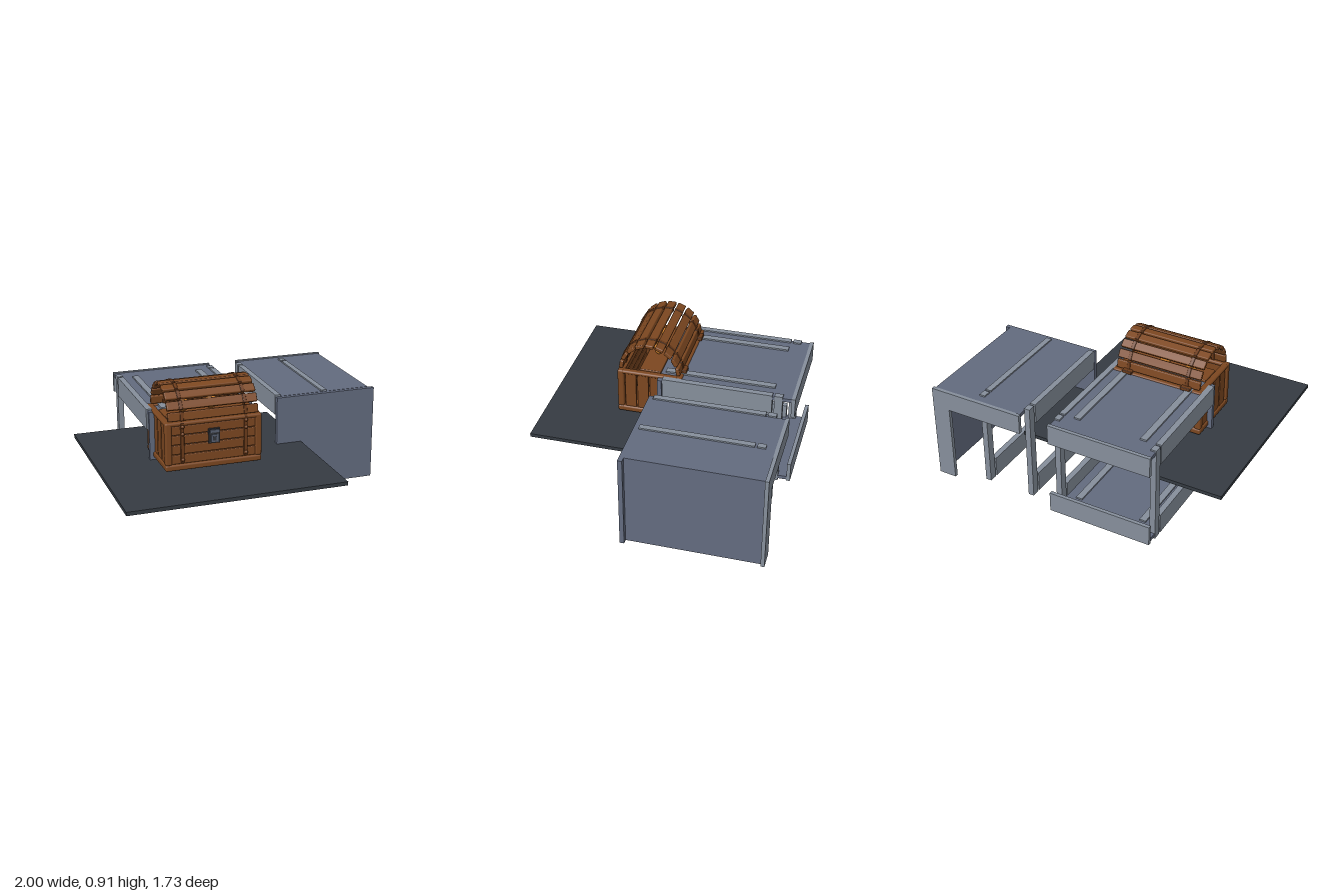
import * as THREE from 'three';
import { RoundedBoxGeometry } from 'three/addons/geometries/RoundedBoxGeometry.js';

const material = (name, color) => {
  const m = new THREE.MeshStandardMaterial({ color });
  m.name = name;
  return m;
};

export function createModel() {
  const slate = material('slate panel', 0x636b7f);
  const pale = material('pale grey beam', 0x868f9b);
  const floorDark = material('dark floor', 0x353b42);
  const wood = material('chest wood', 0x7c4720);
  const band = material('chest strap', 0x6b3b1a);
  const iron = material('lock iron', 0x34363c);
  const steel = material('lock steel', 0x596273);
  const amber = material('amber', 0xd0812c);

  const model = new THREE.Group();
  model.name = 'chestAndFrames';
  const group = (name) => {
    const g = new THREE.Group();
    g.name = name;
    model.add(g);
    return g;
  };
  const put = (parent, name, geo, mat, x, y, z) => {
    const mesh = new THREE.Mesh(geo, mat);
    mesh.name = name;
    mesh.position.set(x, y, z);
    parent.add(mesh);
    return mesh;
  };
  // Sharp or rounded box given by its limits on each axis
  const box = (parent, name, mat, x0, x1, y0, y1, z0, z1, r = 0) => {
    const w = x1 - x0, h = y1 - y0, d = z1 - z0;
    const geo = r ? new RoundedBoxGeometry(w, h, d, 2, r) : new THREE.BoxGeometry(w, h, d);
    return put(parent, name, geo, mat, (x0 + x1) / 2, (y0 + y1) / 2, (z0 + z1) / 2);
  };

  // Floor slab
  box(model, 'floorSlab', floorDark, -1, 0.455, 0.32, 0.345, -0.595, 0.86);

  // Side frame: top rail, bottom rail and a full-height back post
  const sideFrame = (parent, x) => {
    box(parent, 'topRail', pale, x, x + 0.04, 0.55, 0.69, -0.715, 0.035);
    box(parent, 'bottomRail', pale, x, x + 0.04, 0, 0.14, -0.715, 0.035);
    box(parent, 'backPost', pale, x, x + 0.04, 0, 0.69, -0.785, -0.73);
  };

  // Left-hand open frame with top and bottom slabs
  const a = group('openFrame');
  box(a, 'frontPanel', slate, -0.63, 0.09, 0.015, 0.678, 0.04, 0.07);
  for (const [name, y, bandY] of [['bottom', 0.015, 0.01], ['top', 0.655, 0.545]]) {
    box(a, name + 'Slab', slate, -0.635, 0.085, y, y + 0.025, -0.845, 0.04);
    box(a, name + 'BackBand', pale, -0.64, 0.09, bandY, bandY + 0.14, -0.87, -0.845);
    for (const x of [-0.535, -0.06])
      box(a, name + 'Strip', pale, x, x + 0.045, y - 0.012, y + 0.036, -0.715, 0.035);
  }
  sideFrame(a, -0.64);
  sideFrame(a, 0.05);

  // Right-hand frame with a solid side wall
  const b = group('walledFrame');
  box(b, 'frontPanel', slate, 0.275, 1, 0.015, 0.678, 0.04, 0.07);
  box(b, 'sideWall', slate, 0.94, 0.965, 0.015, 0.68, -0.845, 0.04);
  box(b, 'topSlab', slate, 0.31, 0.94, 0.655, 0.68, -0.845, 0.04);
  box(b, 'backBand', pale, 0.3, 0.975, 0.55, 0.685, -0.87, -0.845);
  box(b, 'backLeg', pale, 0.85, 0.975, 0.005, 0.55, -0.87, -0.845);
  sideFrame(b, 0.273);
  sideFrame(b, 0.615);

  // Chest body: corner posts, beams and planks
  const chest = group('chest');
  const X0 = -0.605, X1 = 0.055, Z0 = -0.09, Z1 = 0.36, CX = -0.275;
  for (const x of [X0, X1 - 0.045])
    for (const z of [Z0, Z1 - 0.045])
      box(chest, 'cornerPost', wood, x, x + 0.045, 0.4, 0.685, z, z + 0.045, 0.012);
  for (const [y, h] of [[0.36, 0.042], [0.663, 0.027]]) {
    for (const z of [Z0, Z1 - 0.045])
      box(chest, 'longBeam', wood, X0, X1, y, y + h, z, z + 0.045, 0.012);
    for (const x of [X0, X1 - 0.045])
      box(chest, 'shortBeam', wood, x, x + 0.045, y, y + h, Z0 + 0.03, Z1 - 0.03, 0.012);
  }
  for (let i = 0; i < 4; i++) {
    const y = 0.403 + i * 0.066;
    for (const z of [Z0 + 0.01, Z1 - 0.032])
      box(chest, 'wallPlank', wood, -0.565, 0.015, y, y + 0.061, z, z + 0.022, 0.006);
    const z = -0.03 + i * 0.0865;
    for (const x of [X0 + 0.01, X1 - 0.032])
      box(chest, 'endPlank', wood, x, x + 0.022, 0.398, 0.67, z, z + 0.079, 0.006);
    box(chest, 'bottomPlank', wood, -0.565, 0.015, 0.365, 0.385, z, z + 0.079, 0.006);
  }

  // Straps and rivets on the body, hinges at the back
  for (const x of [-0.49, -0.057]) {
    for (const z of [Z0 - 0.002, Z1 - 0.012])
      box(chest, 'bodyStrap', band, x - 0.012, x + 0.012, 0.41, 0.685, z, z + 0.014, 0.004);
    for (const y of [0.435, 0.61, 0.66])
      put(chest, 'rivet', new THREE.SphereGeometry(0.012, 10, 8), band, x, y, Z1 + 0.005);
    box(chest, 'hinge', band, x - 0.035, x + 0.035, 0.685, 0.71, -0.105, -0.07, 0.005);
  }

  // Lock
  box(chest, 'lockPlate', iron, CX - 0.038, CX + 0.038, 0.525, 0.625, Z1 - 0.02, Z1 + 0.004);
  box(chest, 'lockHasp', steel, CX - 0.03, CX + 0.03, 0.6, 0.618, Z1 + 0.004, Z1 + 0.012);
  box(chest, 'lockBody', steel, CX - 0.024, CX + 0.024, 0.535, 0.585, Z1 + 0.004, Z1 + 0.01);
  box(chest, 'keyhole', iron, CX - 0.012, CX + 0.012, 0.545, 0.572, Z1 + 0.01, Z1 + 0.013);

  // Arched lid of nine spaced planks, each crossed by two straps
  const lid = group('lid');
  for (let i = 0; i < 9; i++) {
    const t = THREE.MathUtils.degToRad(10 + 20 * i);
    const slat = new THREE.Group();
    slat.name = 'lidSlat';
    slat.position.set(CX, 0.69 + 0.2 * Math.sin(t), 0.14 + 0.2 * Math.cos(t));
    slat.rotation.x = Math.PI / 2 - t;
    lid.add(slat);
    put(slat, 'lidPlank', new RoundedBoxGeometry(0.615, 0.028, 0.058, 2, 0.007), wood, 0, 0, 0);
    for (const x of [-0.215, 0.218])
      put(slat, 'lidStrap', new RoundedBoxGeometry(0.024, 0.036, 0.062, 2, 0.004), band, x, 0, 0);
  }

  // Pair of amber ovals resting on a small shelf inside the lid
  box(chest, 'innerShelf', wood, -0.56, 0.01, 0.675, 0.695, 0.065, 0.215, 0.006);
  for (const x of [-0.42, -0.225]) {
    const oval = put(chest, 'amberOval', new THREE.SphereGeometry(1, 24, 16), amber, x, 0.735, 0.14);
    oval.scale.set(0.042, 0.046, 0.032);
  }
  return model;
}
